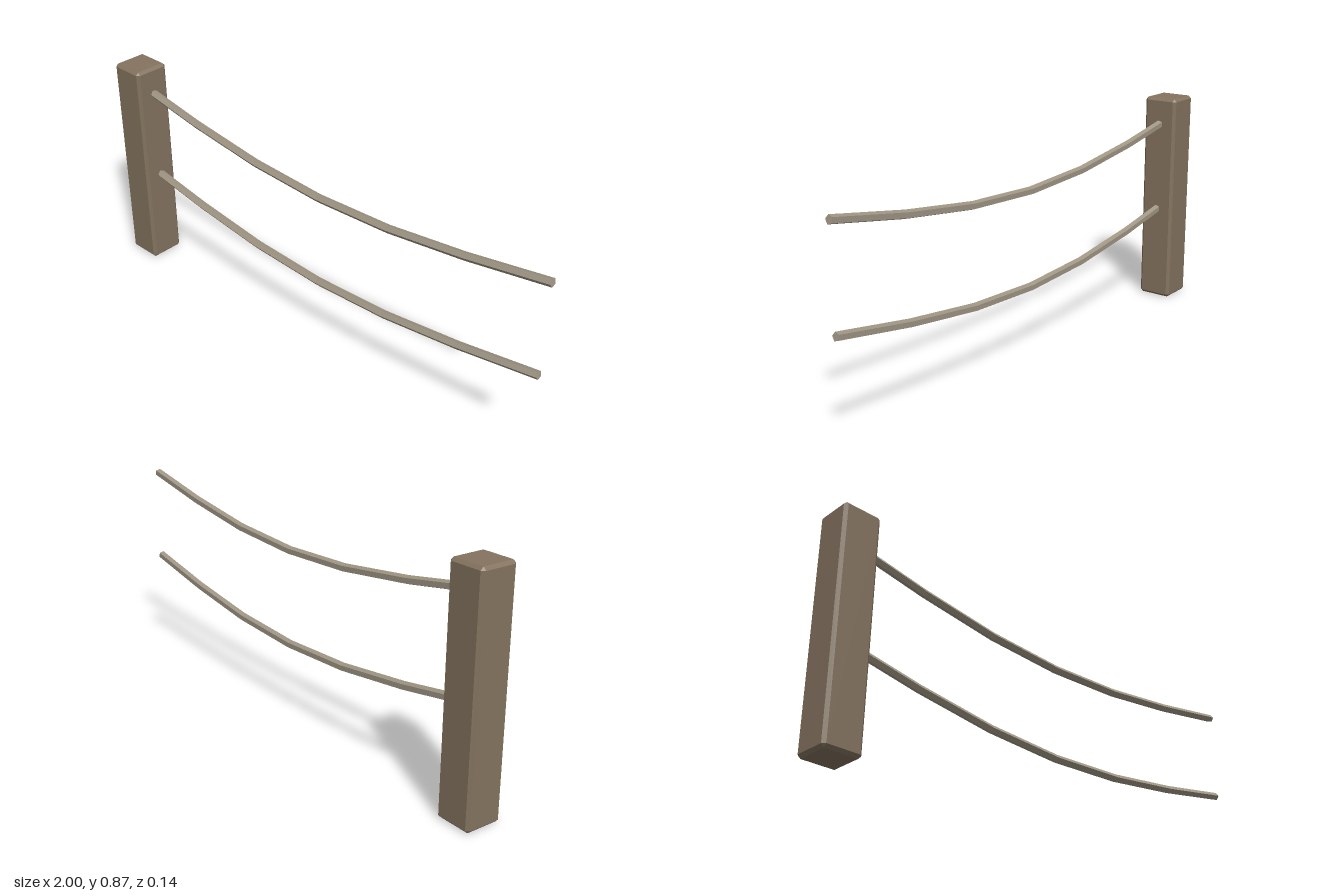
import * as THREE from 'three';
import { ConvexGeometry } from 'three/addons/geometries/ConvexGeometry.js';

// Box with flat chamfers on every edge
function chamferedBox(w, h, d, b) {
  const points = [];
  for (const sx of [-1, 1]) for (const sy of [-1, 1]) for (const sz of [-1, 1]) {
    for (const [cx, cy, cz] of [[0, b, b], [b, 0, b], [b, b, 0]]) {
      points.push(new THREE.Vector3(sx * (w / 2 - cx), sy * (h / 2 - cy), sz * (d / 2 - cz)));
    }
  }
  return new ConvexGeometry(points);
}

// Five-sided rope, sagging along a half sine between its two ends
function saggingRope(x0, x1, sag, radius, segments = 6, sides = 5) {
  const rings = [];
  for (let i = 0; i <= segments; i++) {
    const t = i / segments;
    const x = x0 + (x1 - x0) * t;
    const y = -sag * Math.sin(Math.PI * t);
    const tilt = Math.atan(-sag * Math.PI * Math.cos(Math.PI * t) / (x1 - x0));
    const ring = [];
    for (let j = 0; j < sides; j++) {
      const a = (j / sides) * Math.PI * 2;
      const up = radius * Math.sin(a);
      ring.push([x - up * Math.sin(tilt), y + up * Math.cos(tilt), radius * Math.cos(a)]);
    }
    rings.push(ring);
  }
  const pos = [];
  const tri = (a, b, c) => pos.push(...a, ...b, ...c);
  for (let i = 0; i < segments; i++) {
    for (let j = 0; j < sides; j++) {
      const k = (j + 1) % sides;
      const [p, q] = [rings[i], rings[i + 1]];
      tri(p[j], q[j], q[k]);
      tri(p[j], q[k], p[k]);
    }
  }
  // End caps
  const [first, last] = [rings[0], rings[segments]];
  for (let j = 1; j < sides - 1; j++) {
    tri(first[0], first[j], first[j + 1]);
    tri(last[0], last[j + 1], last[j]);
  }
  const geometry = new THREE.BufferGeometry();
  geometry.setAttribute('position', new THREE.Float32BufferAttribute(pos, 3));
  geometry.computeVertexNormals();
  return geometry;
}

export function createModel() {
  const wood = new THREE.MeshStandardMaterial({ color: 0x84735f });
  wood.name = 'wood';
  wood.flatShading = true;
  const ropeFibre = new THREE.MeshStandardMaterial({ color: 0xa09684 });
  ropeFibre.name = 'ropeFibre';
  ropeFibre.flatShading = true;

  const model = new THREE.Group();
  model.name = 'ropeFence';

  // Post at the right-hand end
  const post = new THREE.Mesh(chamferedBox(0.143, 0.866, 0.143, 0.011), wood);
  post.name = 'post';
  post.position.set(-0.9285, 0.433, 0);
  model.add(post);

  // Two identical ropes, one above the other
  const ropeGeometry = saggingRope(-0.9285, 0.997, 0.115, 0.016);
  for (const [name, y] of [['upperRope', 0.77], ['lowerRope', 0.404]]) {
    const rope = new THREE.Mesh(ropeGeometry, ropeFibre);
    rope.name = name;
    rope.position.y = y;
    model.add(rope);
  }
  return model;
}
